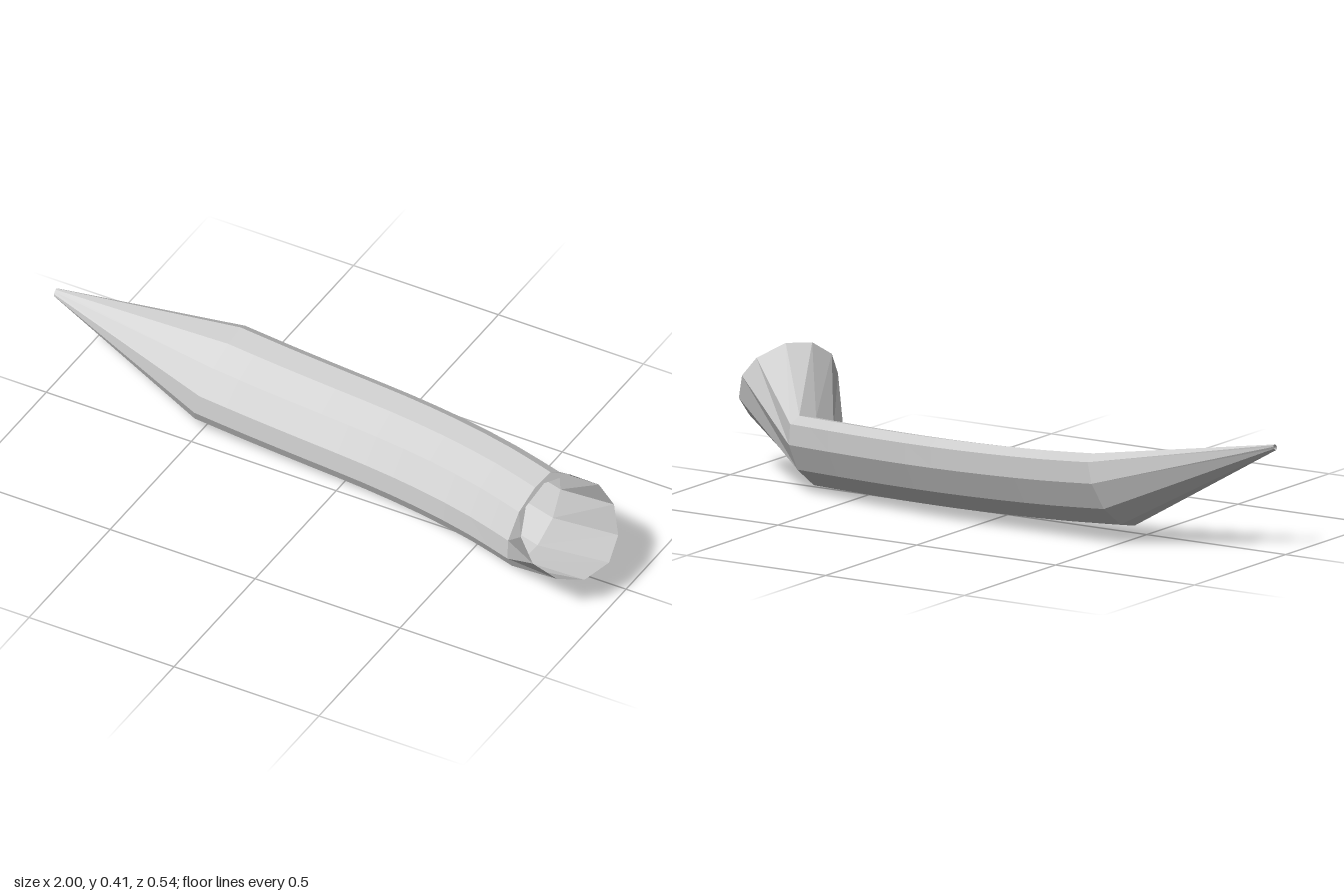
import * as THREE from 'three';

const material = new THREE.MeshStandardMaterial({
  color: 0xcccccc, flatShading: true, side: THREE.DoubleSide,
});

// Skin a list of closed cross-sections (arrays of [x, y, z]) into a thin shell.
function loft(name, sections) {
  const n = sections[0].length;
  const index = [];
  for (let i = 0; i < sections.length - 1; i++) {
    for (let j = 0; j < n; j++) {
      const k = (j + 1) % n;
      const a = i * n + j, b = i * n + k, c = a + n, d = b + n;
      index.push(a, b, c, b, d, c);
    }
  }
  const geometry = new THREE.BufferGeometry();
  geometry.setAttribute('position', new THREE.Float32BufferAttribute(sections.flat(2), 3));
  geometry.setIndex(index);
  geometry.computeVertexNormals();
  const mesh = new THREE.Mesh(geometry, material);
  mesh.name = name;
  return mesh;
}

// Eleven-sided tube section as [z, y], from the top back edge under to the front.
const section = [
  [-0.235, 0.29], [-0.272, 0.27], [-0.272, 0.205], [-0.232, 0.122],
  [-0.16, 0.062], [-0.09, 0.046], [-0.045, 0.052], [-0.028, 0.088],
  [-0.036, 0.15], [-0.09, 0.225], [-0.165, 0.273],
];

// Sweep of the section: x, shift in y, shift in z.
const sweep = new THREE.CatmullRomCurve3([
  [-0.485, 0, 0], [-0.3, -0.013, 0.005], [-0.1, -0.022, 0.012], [0.1, -0.028, 0.022],
  [0.3, -0.033, 0.043], [0.5, -0.039, 0.078], [0.66, -0.046, 0.118],
].map((p) => new THREE.Vector3(...p)));

export function createModel() {
  const group = new THREE.Group();
  group.name = 'bentTube';

  // Curved body, whose sections lean gradually into the bend
  const sections = sweep.getPoints(12).map((p, i) => {
    const t = i / 12;
    const leanY = 0.22 - 0.28 * t, leanZ = -0.22 * t * t;
    return section.map(([z, y]) => [
      p.x + leanY * (y - 0.18) + leanZ * (z + 0.14), y + p.y, z + p.z,
    ]);
  });
  group.add(loft('body', sections));

  // Tapering point: the same section shrunk to a small tip
  const tip = section.map(([z, y]) => [
    -1, 0.343 + (y - 0.18) * 0.08, -0.055 + (z + 0.14) * 0.08,
  ]);
  group.add(loft('taperedTip', [tip, sections[0]]));

  // Open spout, bent forward and up to a slanted mouth
  const mouth = [
    [0.06, 0.415], [0.01, 0.37], [0.005, 0.31], [0.04, 0.23], [0.1, 0.167], [0.18, 0.14],
    [0.24, 0.16], [0.272, 0.215], [0.26, 0.29], [0.205, 0.363], [0.13, 0.41],
  ].map(([z, y]) => [0.889 - 0.76 * (z - 0.13) - 0.76 * (y - 0.28), y, z]);
  group.add(loft('spout', [sections[sections.length - 1], mouth]));

  return group;
}
